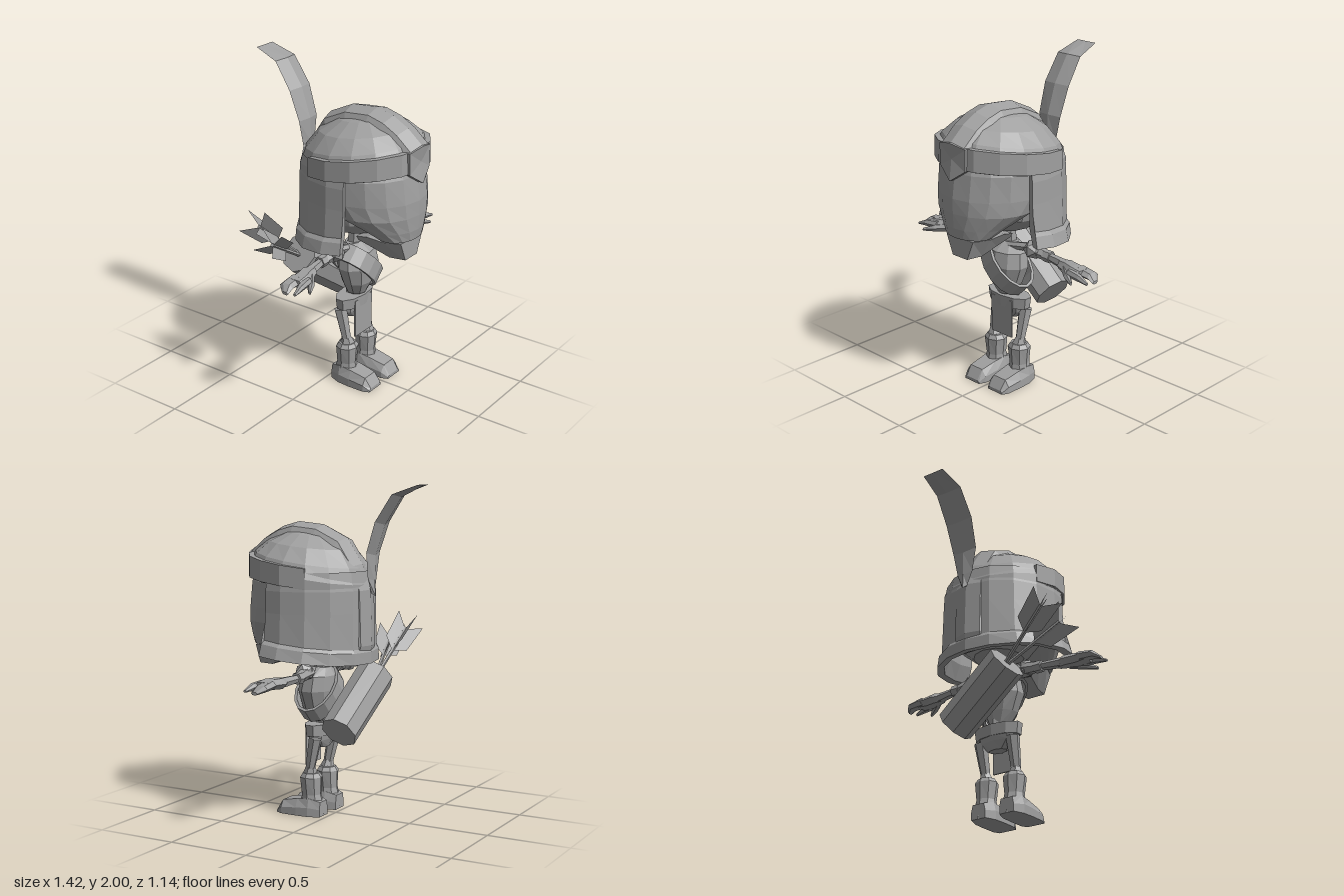
import * as THREE from 'three';

const solid = new THREE.MeshStandardMaterial({ color: 0xa0a0a0, flatShading: true });
const thin = new THREE.MeshStandardMaterial({ color: 0xa0a0a0, flatShading: true, side: THREE.DoubleSide });
const V = (x, y, z) => new THREE.Vector3(x, y, z);
const UP = V(0, 1, 0);
const STEP = Math.PI / 8; // helmet facets

function add(parent, name, geo, mat = solid) {
  const m = new THREE.Mesh(geo, mat);
  m.name = name;
  parent.add(m);
  return m;
}

// Skin a list of closed cross-sections; ends are capped, or joined when loop is set
function loft(sections, loop = false) {
  const tris = [], n = sections[0].length, rows = sections.length;
  for (let i = 0; i < (loop ? rows : rows - 1); i++) {
    const a = sections[i], b = sections[(i + 1) % rows];
    for (let j = 0; j < n; j++) {
      const k = (j + 1) % n;
      tris.push([a[j], a[k], b[k]], [a[j], b[k], b[j]]);
    }
  }
  if (!loop) {
    for (const [s, flip] of [[sections[0], true], [sections[rows - 1], false]]) {
      const c = s.reduce((t, p) => t.add(p), V(0, 0, 0)).divideScalar(n);
      for (let j = 0; j < n; j++) {
        const k = (j + 1) % n;
        tris.push(flip ? [c, s[k], s[j]] : [c, s[j], s[k]]);
      }
    }
  }
  // Turn faces outward using the enclosed volume
  const volume = tris.reduce((v, [p, q, r]) => v + p.dot(q.clone().cross(r)), 0);
  const pts = tris.flatMap(([p, q, r]) => (volume < 0 ? [p, r, q] : [p, q, r]));
  const g = new THREE.BufferGeometry().setFromPoints(pts);
  g.computeVertexNormals();
  return g;
}

// Horizontal ring; y may lean from back to front
function ring(rx, rz, zc, yFront, yBack = yFront, n = 16) {
  return Array.from({ length: n }, (_, i) => {
    const a = (i / n) * Math.PI * 2, c = Math.cos(a);
    return V(Math.sin(a) * rx, (yFront + yBack) / 2 + c * (yFront - yBack) / 2, zc + c * rz);
  });
}
const rings = (rows, n) => loft(rows.map(([y, rx, zc, rz]) => ring(rx, rz, zc, y, y, n)));

// Tapered round bar between two points
function limb(parent, name, a, b, ra, rb, sides = 6) {
  const d = b.clone().sub(a);
  const m = add(parent, name, new THREE.CylinderGeometry(rb, ra, d.length(), sides));
  m.position.copy(a).add(b).multiplyScalar(0.5);
  m.quaternion.setFromUnitVectors(UP, d.normalize());
  return m;
}

function buildHead(g) {
  add(g, 'skull', rings([[1.52, 0.28, 0.19, 0.31], [1.42, 0.33, 0.2, 0.33], [1.27, 0.33, 0.2, 0.35],
    [1.18, 0.305, 0.26, 0.29], [1.09, 0.215, 0.36, 0.185], [1.03, 0.16, 0.42, 0.115]], 18));
  add(g, 'skullBase', rings([[1.25, 0.31, 0.1, 0.25], [1.1, 0.26, 0.1, 0.24], [1.01, 0.15, 0.1, 0.16]], 12));
  add(g, 'jaw', loft([[0.2, 0.97, 1.0, 0.13, 0.11], [0.3, 0.94, 1.03, 0.16, 0.1], [0.4, 0.9, 1.02, 0.15, 0.08], [0.5, 0.9, 1.02, 0.11, 0.06]]
    .map(([z, lo, hi, wt, wb]) => [V(-wb, lo, z), V(wb, lo, z), V(wt, hi, z), V(-wt, hi, z)])));

  // Helmet dome
  add(g, 'helmetDome', loft([[0.01, 1.73, 1.73], [0.4, 1.715, 1.685], [0.7, 1.665, 1.61], [0.91, 1.605, 1.505], [1, 1.55, 1.41], [1, 1.45, 1.37]]
    .map(([r, f, b]) => ring(0.37 * r, 0.38 * r, 0.16, f, b))));

  // Brow band round the front, sinking into the dome at its ends
  add(g, 'browBand', loft(Array.from({ length: 11 }, (_, i) => {
    const a = (i - 5) * STEP, c = Math.cos(a), rise = Math.abs(i - 5) === 5 ? 0.373 : 0.379;
    return [[rise, 1.535 + 0.05 * c], [rise + 0.002, 1.415 + 0.04 * c], [0.345, 1.415 + 0.04 * c], [0.345, 1.535 + 0.05 * c]]
      .map(([r, y]) => V(Math.sin(a) * r, y, 0.16 + c * (r + 0.011)));
  })));

  // Neck guard: thick wall round the sides and back with a flared lip
  const angles = [1.28, ...Array.from({ length: 9 }, (_, i) => (i + 4) * STEP), 2 * Math.PI - 1.28];
  add(g, 'neckGuard', loft(angles.map((a) => {
    const s = Math.sin(a), c = Math.cos(a), f = Math.abs(s) * 0.042, drop = 0.045 * (c - 0.3);
    return [[0.355, 1.49, 0], [0.372, 1.38, 0], [0.375, 1.25, 0], [0.377, 1.09, 0.2], [0.39, 1.07, 0.45], [0.39, 1.0, 1],
      [0.355, 1.0, 0.6], [0.34, 1.1, 0], [0.335, 1.46, 0]].map(([r, y, k]) =>
      V(s * (r + f * k), y + (y < 1.2 ? drop : 0), 0.16 + c * (r + 0.011 + (c > 0 ? f * k : 0))));
  })));

  // Raised, peaked centre ridge with a pointed brow plate
  const path = [[0.56, 1.6], [0.46, 1.685], [0.36, 1.74], [0.25, 1.77], [0.08, 1.755], [-0.08, 1.68],
    [-0.18, 1.53], [-0.235, 1.38], [-0.245, 1.05], [-0.22, 0.95]];
  add(g, 'helmetRidge', loft(path.map(([z, y], i) => {
    const p = path[Math.max(0, i - 1)], q = path[Math.min(path.length - 1, i + 1)];
    const l = Math.hypot(q[0] - p[0], q[1] - p[1]), nz = -(q[1] - p[1]) / l, ny = (q[0] - p[0]) / l;
    return [[-0.112, 0.065], [-0.09, 0.026], [0, 0], [0.09, 0.026], [0.112, 0.065]]
      .map(([x, d]) => V(x, y + ny * d, z + nz * d));
  })));
  const plate = (k, z) => [[-0.105, 1.58], [0, 1.605], [0.105, 1.58], [0.1, 1.45], [0, 1.38], [-0.1, 1.45]]
    .map(([x, y], i) => V(x, y, z + (i % 3 === 1 ? k : 0)));
  add(g, 'browPlate', loft([plate(0, 0.515), plate(0.025, 0.545)]));

  // Curved plume: path height, depth and half width
  add(g, 'plume', loft([[1.36, -0.25, 0.02], [1.45, -0.245, 0.055], [1.6, -0.25, 0.085], [1.78, -0.31, 0.095], [1.94, -0.415, 0.09], [1.995, -0.57, 0.072]]
    .map(([y, z, w], i) => {
      const t = i > 4 ? 0.004 : 0.018;
      return [V(-w, y, z), V(0, y - t, z - t), V(w, y, z), V(0, y + t * 0.3, z + t)];
    })));
}

function buildBody(g) {
  add(g, 'ribcage', rings([[0.57, 0.06, 0.11, 0.06], [0.65, 0.11, 0.12, 0.09], [0.76, 0.155, 0.12, 0.11],
    [0.85, 0.14, 0.11, 0.1], [0.9, 0.06, 0.09, 0.05]], 10));
  limb(g, 'spine', V(0, 0.47, 0.09), V(0, 0.6, 0.09), 0.05, 0.05);
  limb(g, 'neck', V(0, 0.87, 0.09), V(0, 1.04, 0.1), 0.045, 0.035);
  add(g, 'pelvis', rings([[0.5, 0.14, 0.09, 0.07], [0.46, 0.13, 0.09, 0.06], [0.41, 0.06, 0.09, 0.04]], 8));
  add(g, 'belt', rings([[0.49, 0.155, 0.095, 0.075], [0.56, 0.165, 0.095, 0.08]], 10));
  add(g, 'loincloth', new THREE.BoxGeometry(0.17, 0.24, 0.01)).position.set(0, 0.42, 0.16);

  // Diagonal chest strap
  const d = V(-0.7, 0.71, 0), w = V(0.71, 0.7, 0), strap = [];
  for (let i = 0; i < 14; i++) {
    const a = (i / 14) * Math.PI * 2;
    strap.push([[0, -0.055], [0.018, -0.055], [0.018, 0.055], [0, 0.055]].map(([t, s]) =>
      V(0, 0.745, 0.115).addScaledVector(d, Math.cos(a) * (0.175 + t)).addScaledVector(w, s)
        .add(V(0, 0, Math.sin(a) * (0.115 + t)))));
  }
  add(g, 'chestStrap', loft(strap, true));
}

function buildQuiver(g) {
  limb(g, 'quiver', V(0.165, 0.54, -0.112), V(-0.235, 0.835, -0.145), 0.115, 0.12, 8);
  // Arrows with broad crossed fins
  const fin = new THREE.Shape([[0, -0.2], [0.08, -0.14], [0.095, 0.06], [0, -0.02], [-0.095, 0.06], [-0.08, -0.14]]
    .map(([x, y]) => new THREE.Vector2(x, y)));
  for (const [x, y, z] of [[-0.53, 1.1, -0.21], [-0.57, 1.03, -0.08]]) {
    const arrow = new THREE.Group(), base = V(-0.2, 0.8, -0.15), dir = V(x, y, z).sub(base).normalize();
    arrow.name = 'arrow';
    arrow.position.set(x, y, z);
    arrow.quaternion.setFromUnitVectors(UP, dir);
    add(arrow, 'arrowShaft', new THREE.CylinderGeometry(0.012, 0.012, 0.4, 5)).position.y = -0.21;
    for (const turn of [Math.PI / 4, -Math.PI / 4])
      add(arrow, 'arrowFin', new THREE.ShapeGeometry(fin), thin).rotation.y = turn;
    g.add(arrow);
  }
}

function buildLimbs(g, s) {
  const P = (x, y, z) => V(s * x, y, z);
  // Arm bones
  const shoulder = add(g, 'shoulder', new THREE.IcosahedronGeometry(0.06, 0));
  shoulder.position.copy(P(0.2, 0.89, 0.1));
  limb(g, 'collarbone', P(0.02, 0.88, 0.13), P(0.18, 0.9, 0.1), 0.022, 0.028);
  limb(g, 'upperArm', P(0.17, 0.89, 0.09), P(0.3, 0.87, 0.08), 0.045, 0.03);
  limb(g, 'elbow', P(0.28, 0.87, 0.08), P(0.33, 0.87, 0.08), 0.036, 0.036);
  limb(g, 'forearm', P(0.31, 0.87, 0.08), P(0.45, 0.865, 0.1), 0.024, 0.032);
  // Hand with mitten-like fingers and a thumb, as lofts of [x, z, half width, y, half height]
  const loftX = (name, rows) => add(g, name, loft(rows.map(([x, z, w, y, h]) => Array.from({ length: 6 }, (_, i) =>
    P(x, y + h * Math.sin(i * Math.PI / 3), z + w * Math.cos(i * Math.PI / 3))))));
  loftX('hand', [[0.43, 0.108, 0.032, 0.865, 0.03], [0.48, 0.105, 0.055, 0.865, 0.036], [0.55, 0.125, 0.062, 0.868, 0.034], [0.62, 0.125, 0.066, 0.866, 0.026]]);
  loftX('fingers', [[0.58, 0.105, 0.048, 0.87, 0.028], [0.67, 0.105, 0.046, 0.86, 0.022], [0.708, 0.125, 0.022, 0.838, 0.01]]);
  loftX('littleFinger', [[0.55, 0.17, 0.025, 0.866, 0.026], [0.64, 0.182, 0.022, 0.862, 0.022], [0.705, 0.19, 0.01, 0.845, 0.008]]);
  loftX('thumb', [[0.48, 0.13, 0.03, 0.858, 0.028], [0.55, 0.185, 0.028, 0.85, 0.024], [0.62, 0.23, 0.01, 0.835, 0.01]]);
  // Leg bones
  limb(g, 'thigh', P(0.115, 0.48, 0.075), P(0.11, 0.29, 0.115), 0.042, 0.03);
  limb(g, 'knee', P(0.11, 0.3, 0.113), P(0.105, 0.255, 0.118), 0.028, 0.045);
  limb(g, 'shin', P(0.105, 0.26, 0.118), P(0.1, 0.2, 0.118), 0.04, 0.035);
  // Boot shaft and foot
  const boot = [[0.26, 0.055, 0.115, 0.052], [0.235, 0.072, 0.115, 0.068], [0.13, 0.058, 0.112, 0.062], [0.09, 0.064, 0.11, 0.07], [0, 0.07, 0.1, 0.074]];
  add(g, 'bootShaft', rings(boot, 8)).position.x = s * 0.1;
  add(g, 'bootFoot', loft([[0.03, 0.05, 0.09, 0.04], [0.1, 0.075, 0.11, 0.06], [0.18, 0.08, 0.1, 0.055], [0.285, 0.078, 0.08, 0.05], [0.325, 0.06, 0.02, 0.045]]
    .map(([z, w, h, t]) => [P(0.1 - w, 0, z), P(0.1 + w, 0, z), P(0.1 + w, h * 0.5, z), P(0.1 + t, h, z), P(0.1 - t, h, z), P(0.1 - w, h * 0.5, z)])));
}

export function createModel() {
  const model = new THREE.Group();
  model.name = 'skeletonArcher';
  const part = (name, build, ...args) => {
    const g = new THREE.Group();
    g.name = name;
    build(g, ...args);
    model.add(g);
  };
  part('head', buildHead);
  part('body', buildBody);
  part('quiverWithArrows', buildQuiver);
  part('leftLimbs', buildLimbs, 1);
  part('rightLimbs', buildLimbs, -1);
  return model;
}
